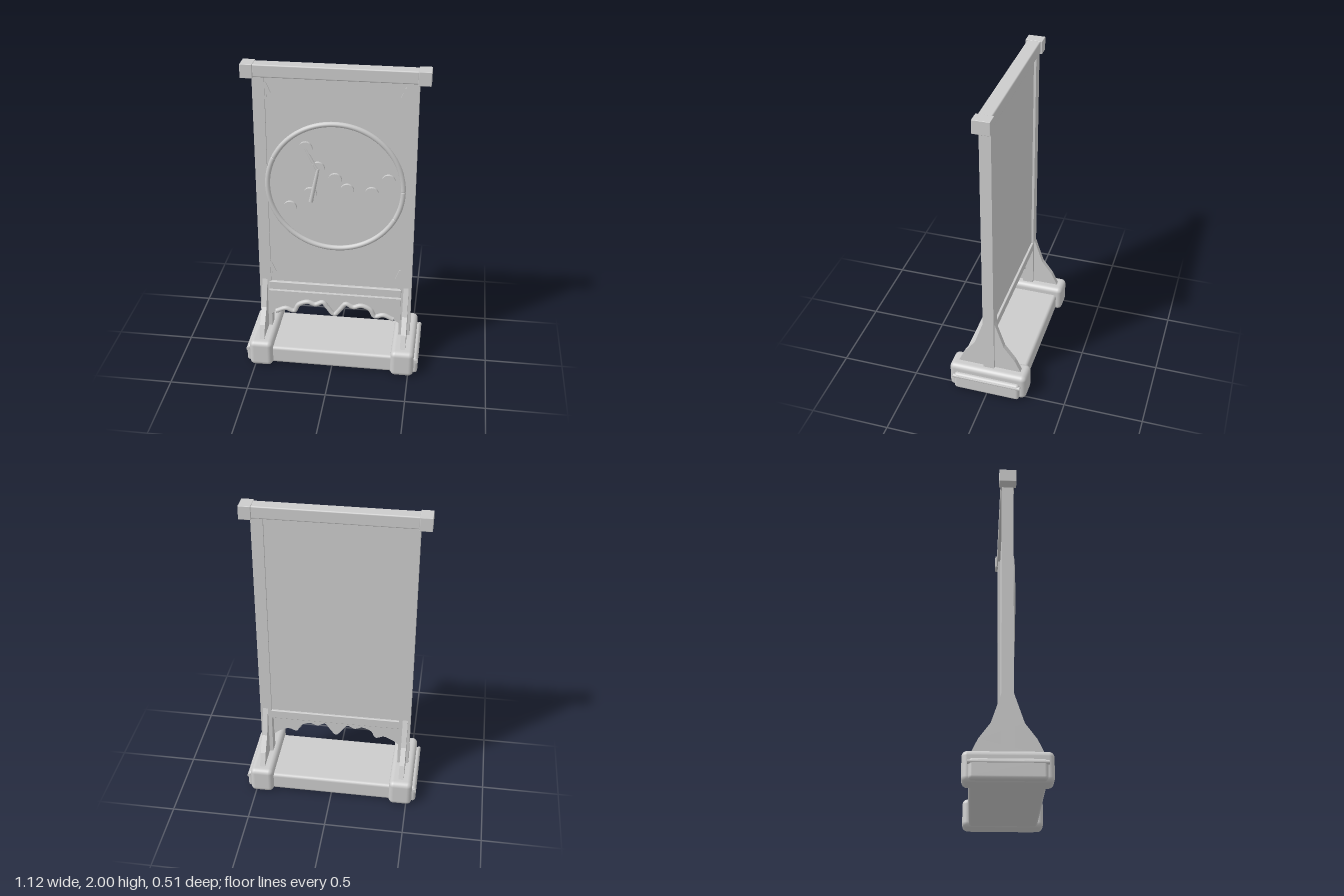
import * as THREE from 'three';
import { RoundedBoxGeometry } from 'three/addons/geometries/RoundedBoxGeometry.js';

export function createModel() {
  const root = new THREE.Group();
  const grey = new THREE.MeshStandardMaterial({ color: 0xcccccc });
  grey.name = 'plain grey';

  const add = (name, geometry, x = 0, y = 0, z = 0) => {
    const mesh = new THREE.Mesh(geometry, grey);
    mesh.name = name;
    mesh.position.set(x, y, z);
    root.add(mesh);
    return mesh;
  };
  // Box given by its limits on each axis
  const box = (name, x0, x1, y0, y1, z0, z1, r = 0) => add(name,
    r ? new RoundedBoxGeometry(x1 - x0, y1 - y0, z1 - z0, 3, r) : new THREE.BoxGeometry(x1 - x0, y1 - y0, z1 - z0),
    (x0 + x1) / 2, (y0 + y1) / 2, (z0 + z1) / 2);
  const plate = (points, depth) => new THREE.ExtrudeGeometry(
    new THREE.Shape(points.map(([x, y]) => new THREE.Vector2(x, y))), { depth, bevelEnabled: false });
  // Round rod between two points
  const rod = (name, a, b, r0, r1 = r0) => {
    const d = b.clone().sub(a);
    const mesh = add(name, new THREE.CylinderGeometry(r1, r0, d.length(), 16));
    mesh.position.copy(a).addScaledVector(d, 0.5);
    mesh.quaternion.setFromUnitVectors(new THREE.Vector3(0, 1, 0), d.normalize());
    return mesh;
  };
  const v = (x, y, z) => new THREE.Vector3(x, y, z);

  // Base and frame
  box('baseBoard', -0.56, 0.56, 0.01, 0.13, -0.215, 0.215, 0.02);
  box('topBeam', -0.49, 0.49, 1.92, 1.998, -0.042, 0.042, 0.008);
  box('panel', -0.43, 0.43, 0.51, 1.93, -0.02, 0.02);
  box('lowerRail', -0.43, 0.43, 0.465, 0.525, -0.035, 0.04, 0.004);

  // Paired side parts
  const flank = [[0.035, 0.54], [0.095, 0.36], [0.165, 0.265], [0.21, 0.17]];
  const bracketOutline = [...flank, ...flank.map(([z, y]) => [-z, y]).reverse()];
  for (const s of [-1, 1]) {
    const side = s > 0 ? 'left' : 'right';
    const pair = (name, a, b, ...rest) => box(side + name, Math.min(s * a, s * b), Math.max(s * a, s * b), ...rest);
    pair('Post', 0.42, 0.493, 0.15, 1.93, -0.035, 0.035);
    pair('Foot', 0.385, 0.535, 0.003, 0.182, -0.253, 0.253, 0.032);
    pair('BeamCap', 0.485, 0.56, 1.915, 2, -0.053, 0.053, 0.003);
    rod(side + 'EndBead', v(s * 0.55, 0.108, -0.222), v(s * 0.55, 0.108, 0.222), 0.012);
    const bracket = add(side + 'Bracket', plate(bracketOutline, 0.033), s * 0.46 - 0.0165);
    bracket.rotation.y = Math.PI / 2;
    bracket.position.x = s * 0.46 - 0.0165;
    // Small corner ornaments on the panel
    const leaf = [[0.425, 1.9], [0.41, 1.885], [0.385, 1.825], [0.395, 1.815], [0.408, 1.82], [0.412, 1.79], [0.425, 1.775]];
    for (const drop of [0, 1.225]) {
      add(side + 'CornerOrnament', plate(leaf.map(([x, y]) => [s * x, y - drop]), 0.009), 0, 0, 0.019);
    }
  }

  // Scalloped apron with a wavy moulding along its lower edge
  const half = [[-0.38, 0.32], [-0.32, 0.345], [-0.265, 0.33], [-0.235, 0.38], [-0.175, 0.405],
    [-0.125, 0.39], [-0.075, 0.41], [-0.045, 0.375], [0, 0.325]];
  const wave = [...half, ...half.slice(0, -1).reverse().map(([x, y]) => [-x, y])];
  const waveCurve = new THREE.CatmullRomCurve3(wave.map(([x, y]) => v(x, y, 0.065)));
  const edge = waveCurve.getPoints(80).map((p) => [p.x, p.y]);
  add('apron', plate([[-0.43, 0.47], [-0.43, 0.28], ...edge, [0.43, 0.28], [0.43, 0.47]], 0.04), 0, 0, 0.02);
  add('apronMoulding', new THREE.TubeGeometry(waveCurve, 120, 0.015, 10));
  for (const s of [-1, 1]) rod('mouldingEnd', v(s * 0.375, 0.322, 0.065), v(s * 0.385, 0.318, 0.065), 0.015);

  // Ring in three arcs, with a closing cap at each joint
  const R = 0.42, cy = 1.225, ringZ = 0.032;
  const rad = THREE.MathUtils.degToRad;
  for (const [from, to] of [[1, 153], [155, 332], [334, 359]]) {
    const arc = add('ringArc', new THREE.TorusGeometry(R, 0.016, 12, 72, rad(to - from)), 0, cy, ringZ);
    arc.rotation.z = rad(from);
    for (const a of [from, to]) {
      add('ringArcEnd', new THREE.SphereGeometry(0.016, 12, 8), R * Math.cos(rad(a)), cy + R * Math.sin(rad(a)), ringZ);
    }
  }

  // Blossom discs and the branch inside the ring
  for (const [x, y] of [[-0.18, 1.48], [-0.105, 1.35], [-0.155, 1.175], [0, 1.28],
    [0.075, 1.213], [0.227, 1.2], [0.328, 1.29], [-0.283, 1.073]]) {
    const disc = add('blossom', new THREE.CylinderGeometry(0.042, 0.042, 0.022, 28), x, y, 0.027);
    disc.rotation.x = Math.PI / 2;
  }
  rod('branchLower', v(-0.15, 1.125, 0.034), v(-0.103, 1.35, 0.034), 0.014, 0.01);
  rod('branchUpper', v(-0.11, 1.345, 0.034), v(-0.18, 1.48, 0.034), 0.01, 0.007);

  return root;
}
